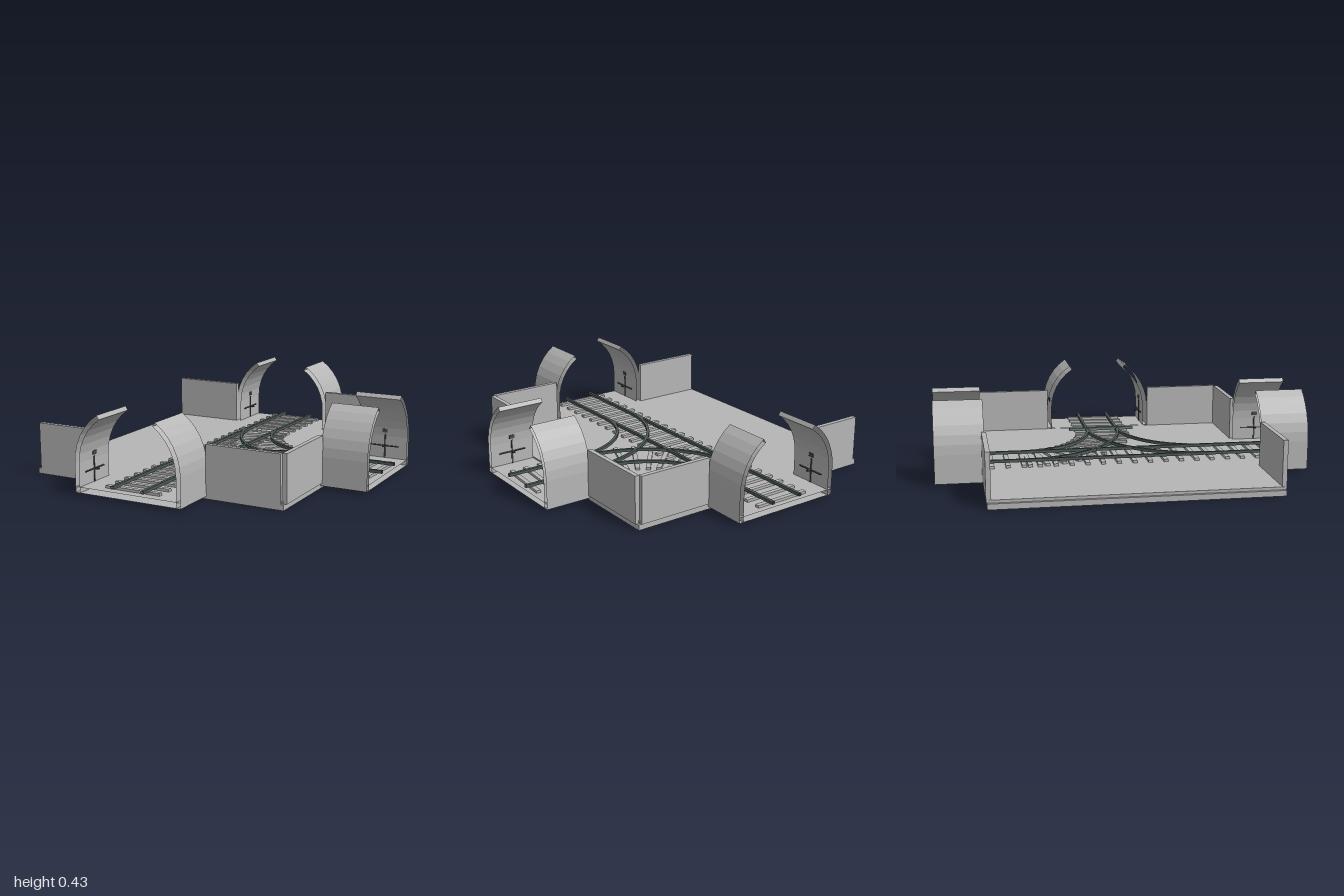
import * as THREE from 'three';

const mat = (name, color) => {
  const m = new THREE.MeshStandardMaterial({ color, side: THREE.DoubleSide });
  m.name = name;
  return m;
};

// Sweeps a closed [sideways, height] profile along [x, z] points, leaving the ends open
function sweep(path, profile) {
  const rings = path.map((p, i) => {
    const a = path[Math.max(i - 1, 0)], b = path[Math.min(i + 1, path.length - 1)];
    const dx = b[0] - a[0], dz = b[1] - a[1], l = Math.hypot(dx, dz);
    return profile.map(([u, y]) => [p[0] + u * dz / l, y, p[1] - u * dx / l]);
  });
  const pos = [];
  for (let i = 0; i < rings.length - 1; i++) {
    for (let j = 0; j < profile.length; j++) {
      const k = (j + 1) % profile.length;
      const a = rings[i][j], b = rings[i][k], c = rings[i + 1][k], d = rings[i + 1][j];
      pos.push(...a, ...b, ...c, ...a, ...c, ...d);
    }
  }
  const g = new THREE.BufferGeometry();
  g.setAttribute('position', new THREE.Float32BufferAttribute(pos, 3));
  g.computeVertexNormals();
  return g;
}

const rect = (u0, u1, y0, y1) => [[u0, y0], [u0, y1], [u1, y1], [u1, y0]];

export function createModel() {
  const model = new THREE.Group();
  const concrete = mat('concrete', 0xb6b6b6);
  const steel = mat('railSteel', 0x4d5a58);
  const barMetal = mat('barMetal', 0x6c7d78);
  const dark = mat('darkFitting', 0x444a4a);

  const add = (name, geo, material, parent = model) => {
    const m = new THREE.Mesh(geo, material);
    m.name = name;
    parent.add(m);
    return m;
  };
  // Box given by its limits
  const box = (name, x0, x1, y0, y1, z0, z1, material, parent) => {
    const m = add(name, new THREE.BoxGeometry(x1 - x0, y1 - y0, z1 - z0), material, parent);
    m.position.set((x0 + x1) / 2, (y0 + y1) / 2, (z0 + z1) / 2);
    return m;
  };

  // Ground
  box('baseSlab', -0.87, 0.61, 0, 0.03, -0.75, 0.75, concrete);
  box('floor', -0.855, 0.6, 0.03, 0.045, -0.74, 0.74, concrete);

  // Low walls around three sides
  for (const s of [-1, 1]) {
    const [a, b] = s > 0 ? [0.73, 0.755] : [-0.755, -0.73];
    box('endWallRight', -0.85, -0.44, 0.03, 0.285, a, b, concrete);
    box('endWallLeft', 0.18, 0.595, 0.03, 0.285, a, b, concrete);
    const [c, d] = s > 0 ? [0.31, 0.735] : [-0.735, -0.31];
    box('sideWall', 0.595, 0.62, 0.03, 0.285, c, d, concrete);
  }

  // Tunnel mouth: two curved side walls open at the crown, and a floor
  const outer = [[0.31, 0.015]], inner = [[0.285, 0.015]];
  for (let i = 0; i <= 6; i++) {
    const t = i / 6 * 0.99;
    outer.push([0.31 * Math.cos(t), 0.17 + 0.31 * Math.sin(t)]);
    inner.push([0.285 * Math.cos(t), 0.17 + 0.285 * Math.sin(t)]);
  }
  const wallProfile = [...outer, ...inner.reverse()];
  const path = [[0, 0], [0, 0.26]];
  function tunnel(name, x, z, turn) {
    const g = new THREE.Group();
    g.name = name;
    g.position.set(x, 0, z);
    g.rotation.y = turn;
    add('tunnelFloor', sweep(path, rect(-0.31, 0.31, 0.015, 0.045)), concrete, g);
    for (const s of [-1, 1]) {
      add('tunnelWall', sweep(path, wallProfile.map(([u, y]) => [u * s, y])), concrete, g);
      // Wall fittings
      const fit = (n, u, y, w, h, len) =>
        add(n, new THREE.BoxGeometry(w, h, len), dark, g).position.set(u * s, y, 0.13);
      fit('conduit', 0.283, 0.1, 0.004, 0.16, 0.008);
      fit('bracket', 0.27, 0.115, 0.03, 0.007, 0.012);
      fit('cableRail', 0.28, 0.115, 0.006, 0.006, 0.16);
      fit('lamp', 0.283, 0.2, 0.01, 0.02, 0.03);
    }
    model.add(g);
  }
  tunnel('frontTunnel', -0.13, 0.74, 0);
  tunnel('backTunnel', -0.13, -0.74, Math.PI);
  tunnel('sideTunnel', 0.608, 0, Math.PI / 2);

  // Sleepers
  const tieGeo = new THREE.BoxGeometry(0.32, 0.014, 0.025);
  const tie = (x, z, turn) => {
    const m = add('sleeper', tieGeo, concrete);
    m.position.set(x, 0.053, z);
    m.rotation.y = turn;
  };
  for (let i = 0; i < 23; i++) tie(-0.13, -0.955 + i * 0.0861, 0);
  for (let i = 0; i < 5; i++) tie(0.48 + i * 0.085, 0, Math.PI / 2 - 0.06);
  for (let i = 0; i < 11; i++) {
    const t = (i + 0.3) / 11 * Math.PI / 2;
    tie(0.45 - 0.58 * Math.cos(t), -0.52 + 0.52 * Math.sin(t), t);
  }

  // Straight rails
  const railProfile = rect(-0.008, 0.008, 0.06, 0.076);
  for (const s of [-0.09, 0.09]) {
    add('mainRail', sweep([[-0.13 + s, -1], [-0.13 + s, 1]], railProfile), steel);
    add('branchRail', sweep([[0.44, s], [0.868, s]], railProfile), steel);
    // Curved rails joining the branch to both ends of the main line
    for (const end of [-1, 1]) {
      const curve = [];
      for (let i = 0; i <= 20; i++) {
        const t = i / 20 * Math.PI / 2;
        curve.push([0.45 - (0.58 + s) * Math.cos(t), end * (0.52 - (0.52 + s) * Math.sin(t))]);
      }
      add('curvedRail', sweep(curve, railProfile), steel);
    }
  }

  // Bar across the branch
  box('crossBar', 0.428, 0.453, 0.064, 0.08, -0.195, 0.19, barMetal);
  return model;
}
